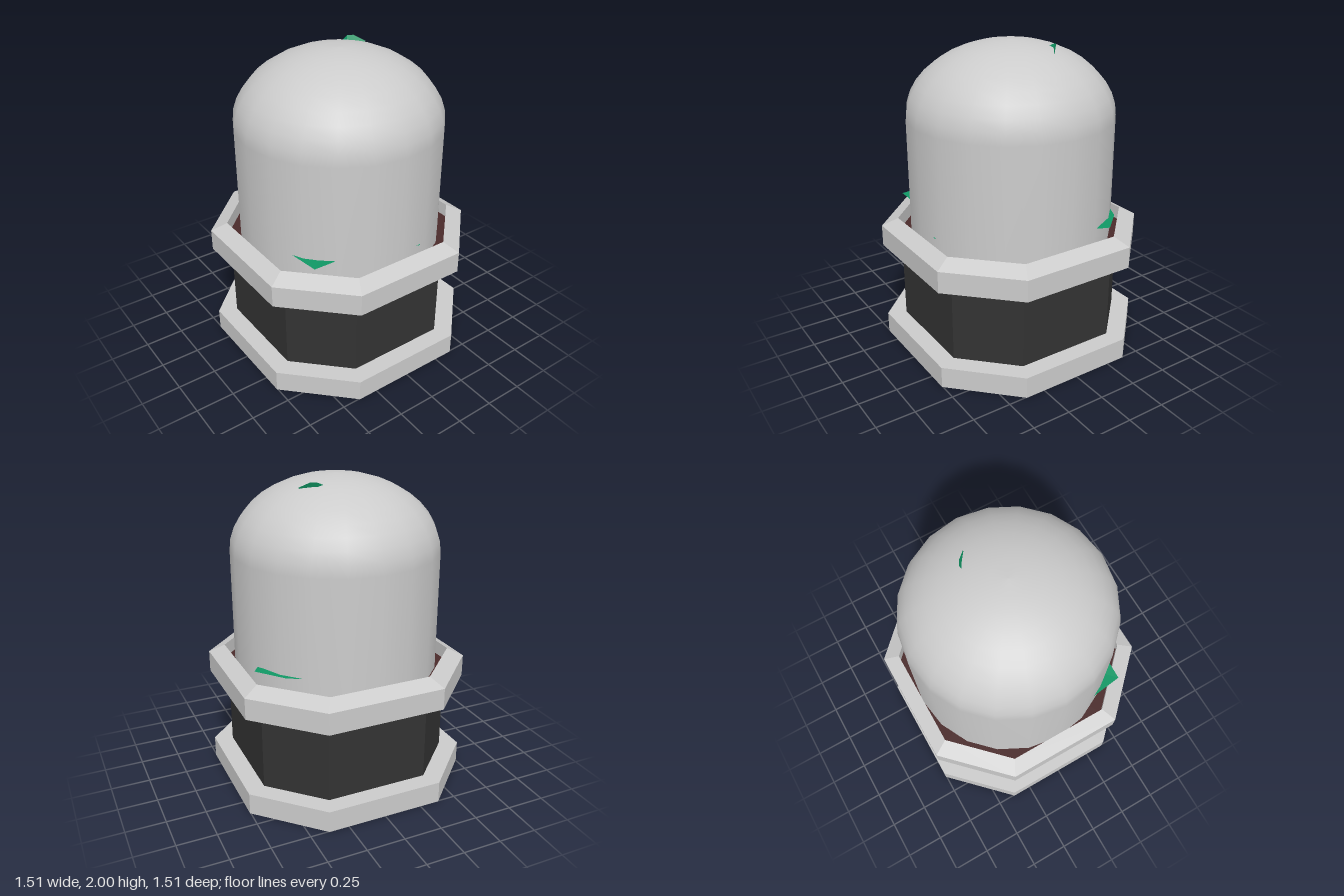
import * as THREE from 'three';

const DOUBLE = THREE.DoubleSide;
const paint = (color, extra = {}) => new THREE.MeshStandardMaterial({ color, ...extra });

// Eight-sided solid lofted through rings of [half width, half length of the straight side, height]
function octagonLoft(rings) {
  const ring = ([h, c, y]) => [[h, -c], [h, c], [c, h], [-c, h], [-h, c], [-h, -c], [-c, -h], [c, -h]]
    .map(([x, z]) => [x, y, z]);
  const pos = [];
  for (let r = 0; r < rings.length - 1; r++) {
    const a = ring(rings[r]), b = ring(rings[r + 1]);
    for (let i = 0; i < 8; i++) {
      const j = (i + 1) % 8;
      pos.push(...a[i], ...b[i], ...b[j], ...a[i], ...b[j], ...a[j]);
    }
  }
  const geo = new THREE.BufferGeometry();
  geo.setAttribute('position', new THREE.Float32BufferAttribute(pos, 3));
  geo.computeVertexNormals();
  return geo;
}

// Flat leaf fanned out from its base point
function leafBlade(base, edge) {
  const pos = [];
  for (let i = 0; i < edge.length - 1; i++) pos.push(...base, ...edge[i], ...edge[i + 1]);
  const geo = new THREE.BufferGeometry();
  geo.setAttribute('position', new THREE.Float32BufferAttribute(pos, 3));
  geo.computeVertexNormals();
  return geo;
}

export function createModel() {
  const model = new THREE.Group();
  const add = (name, geo, mat, parent = model) => {
    const mesh = new THREE.Mesh(geo, mat);
    mesh.name = name;
    parent.add(mesh);
    return mesh;
  };
  const grey = paint(0xcccccc, { flatShading: true });
  const green = paint(0x119966, { flatShading: true, side: DOUBLE });

  // Pot: foot plate, dark body and bevelled rim with an open middle
  add('footPlate', octagonLoft([[0, 0, 0], [0.755, 0.38, 0], [0.755, 0.38, 0.14], [0, 0, 0.14]]), grey);
  add('potBody', octagonLoft([[0.64, 0.33, 0.14], [0.64, 0.33, 0.66]]), paint(0x333333, { flatShading: true }));
  add('rim', octagonLoft([
    [0.6, 0.31, 0.66], [0.755, 0.38, 0.66], [0.755, 0.38, 0.8], [0.66, 0.33, 0.85], [0.66, 0.33, 0.74],
  ]), grey);
  add('soil', octagonLoft([[0.66, 0.33, 0.76], [0, 0, 0.76]]), paint(0x4a2a2a, { flatShading: true }));

  // Dome: straight wall running into a flattened cap
  const profile = [new THREE.Vector2(0.66, 0.76)];
  for (let i = 0; i <= 10; i++) {
    const a = (i / 10) * Math.PI / 2;
    profile.push(new THREE.Vector2(0.66 * Math.cos(a), 1.53 + 0.47 * Math.sin(a)));
  }
  add('dome', new THREE.LatheGeometry(profile, 20), paint(0xcccccc, { side: DOUBLE }));

  // Plant under the dome, with leaf tips that poke through it
  const plant = new THREE.Group();
  plant.name = 'plant';
  model.add(plant);
  const stem = new THREE.CatmullRomCurve3([
    new THREE.Vector3(0, 0.76, 0), new THREE.Vector3(0.03, 1.2, -0.02), new THREE.Vector3(-0.08, 1.6, -0.1),
  ]);
  add('stem', new THREE.TubeGeometry(stem, 8, 0.03, 6), green, plant);
  const leaves = [
    ['frontLeaf', [0, 0.88, 0], [[0.28, 0.92, 0.575], [0.52, 0.92, 0.545], [0.525, 0.92, 0.36]]],
    ['backLeaf', [0, 0.88, 0], [[-0.52, 0.91, -0.38], [-0.45, 0.915, -0.52], [-0.295, 0.92, -0.66], [-0.2, 0.91, -0.6]]],
    ['sideLeaf', [0, 0.87, 0], [[0.5, 0.89, -0.3], [0.645, 0.89, -0.145], [0.64, 0.89, -0.12], [0.5, 0.88, 0]]],
    ['topLeaf', [-0.08, 1.6, -0.1], [[-0.17, 1.95, -0.12], [-0.19, 1.985, -0.2], [-0.17, 1.985, -0.235], [-0.12, 1.95, -0.29]]],
  ];
  for (const [name, base, edge] of leaves) add(name, leafBlade(base, edge), green, plant);

  return model;
}
